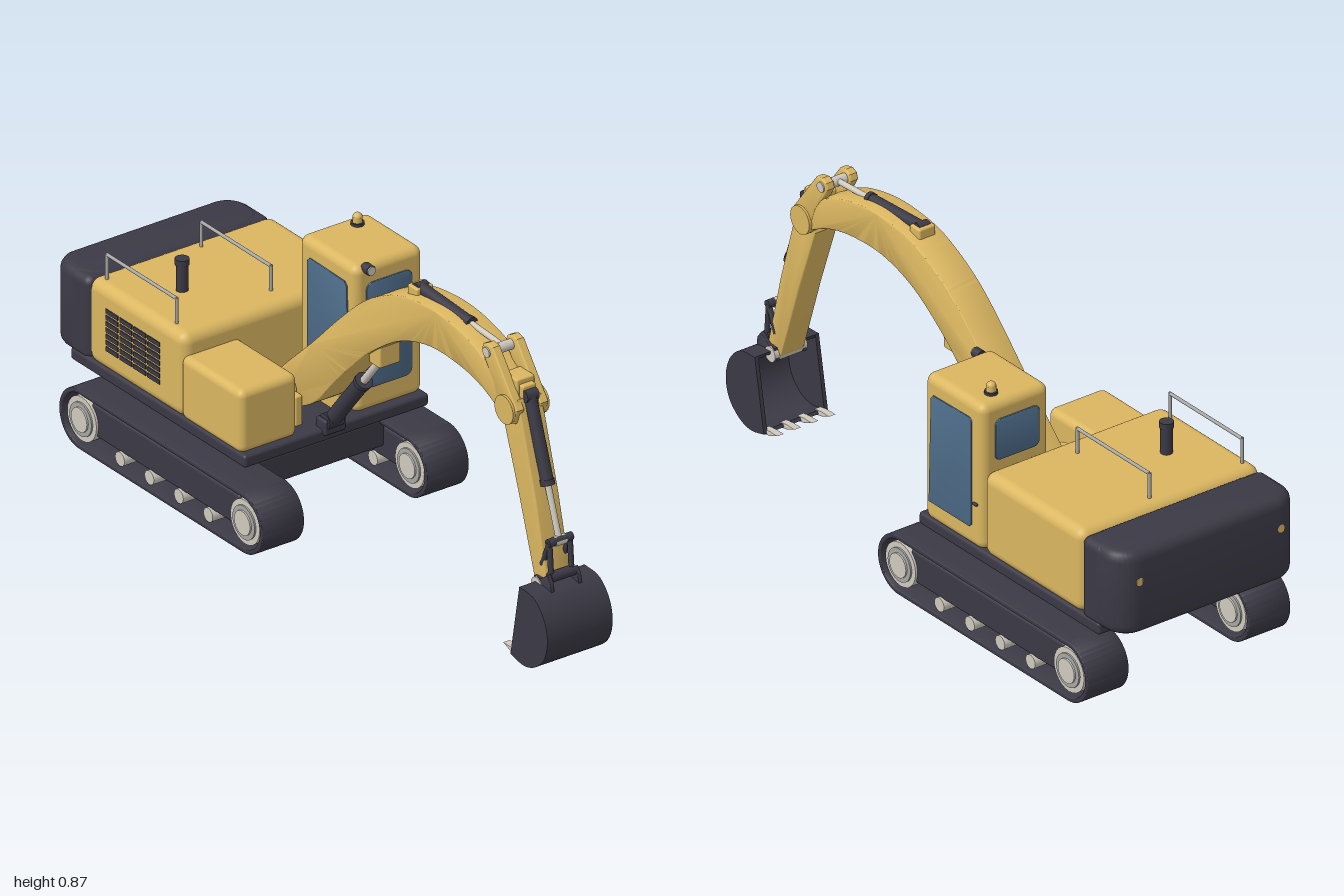
import * as THREE from 'three';
import { toCreasedNormals } from 'three/addons/utils/BufferGeometryUtils.js';
import { RoundedBoxGeometry } from 'three/addons/geometries/RoundedBoxGeometry.js';

const paint = (name, color, side = THREE.FrontSide) => {
  const m = new THREE.MeshStandardMaterial({ color, side });
  m.name = name;
  return m;
};

export function createModel() {
  const yellow = paint('yellow paint', 0xdab660);
  const dark = paint('dark steel', 0x3b3945, THREE.DoubleSide);
  const glass = paint('blue glass', 0x4d6b88);
  const light = paint('light metal', 0xcfc9be);
  const rail = paint('rail grey', 0xa5a5a3);
  const root = new THREE.Group();
  root.name = 'excavator';
  const AX = -0.012; // x of the digging arm's middle plane

  const add = (name, geo, mat, x = 0, y = 0, z = 0, parent = root) => {
    const m = new THREE.Mesh(geo, mat);
    m.name = name;
    m.position.set(x, y, z);
    parent.add(m);
    return m;
  };
  // Box given by its min and max on each axis, with rounded edges
  const box = (name, mat, [x0, x1], [y0, y1], [z0, z1], r = 0.006, parent = root) =>
    add(name, new RoundedBoxGeometry(x1 - x0, y1 - y0, z1 - z0, 4, r), mat,
      (x0 + x1) / 2, (y0 + y1) / 2, (z0 + z1) / 2, parent);
  // Cylinder between two points
  const rod = (name, mat, a, b, r, r2 = r, parent = root) => {
    const p = new THREE.Vector3(...a), q = new THREE.Vector3(...b), d = q.clone().sub(p);
    const m = add(name, new THREE.CylinderGeometry(r2, r, d.length(), 24), mat, 0, 0, 0, parent);
    m.position.copy(p).add(q).multiplyScalar(0.5);
    m.quaternion.setFromUnitVectors(new THREE.Vector3(0, 1, 0), d.normalize());
    return m;
  };
  // Pin lying along x
  const pin = (name, mat, x, y, z, r, w, parent = root) =>
    rod(name, mat, [x - w / 2, y, z], [x + w / 2, y, z], r, r, parent);
  const extrude = (shape, depth, bevel) => {
    const g = new THREE.ExtrudeGeometry(shape, {
      depth: depth - 2 * bevel, curveSegments: 16, bevelEnabled: bevel > 0,
      bevelThickness: bevel, bevelSize: bevel, bevelOffset: -bevel, bevelSegments: 4 });
    g.translate(0, 0, bevel - depth / 2);
    return toCreasedNormals(g, 0.6);
  };
  // Outline in (z, y), extruded along x
  const sidePart = (name, mat, shape, width, x = AX, bevel = 0.005) =>
    add(name, extrude(shape, width, bevel).rotateY(-Math.PI / 2), mat, x);
  const outline = pts => new THREE.Shape(pts.map(p => new THREE.Vector2(...p)));
  const roundRect = (w, h, r, S = THREE.Shape) => {
    const s = new S(), a = w / 2, b = h / 2, q = Math.PI / 2;
    s.absarc(a - r, b - r, r, 0, q);
    s.absarc(r - a, b - r, r, q, 2 * q);
    s.absarc(r - a, r - b, r, 2 * q, 3 * q);
    s.absarc(a - r, r - b, r, 3 * q, 4 * q);
    s.closePath();
    return s;
  };

  // Crawler tracks
  for (const s of [-1, 1]) {
    const t = new THREE.Group();
    t.name = s > 0 ? 'leftTrack' : 'rightTrack';
    root.add(t);
    const x = s * 0.275;
    const loop = roundRect(0.92, 0.18, 0.0899);
    loop.holes.push(roundRect(0.892, 0.152, 0.0759, THREE.Path));
    add('trackBelt', extrude(loop, 0.14, 0.003).rotateY(-Math.PI / 2), dark, x, 0.1, -0.445, t);
    box('trackFrame', dark, [x - 0.055, x + 0.055], [0.065, 0.163], [-0.78, -0.11], 0.01, t);
    for (const z of [-0.075, -0.812]) {
      pin('trackWheel', light, x, 0.1, z, 0.066, 0.124, t);
      pin('wheelRing', rail, x, 0.1, z, 0.05, 0.134, t);
      pin('wheelHub', light, x, 0.1, z, 0.036, 0.144, t);
    }
    for (let i = 0; i < 4; i++) pin('roller', light, x, 0.05, -0.243 - i * 0.133, 0.021, 0.122, t);
  }

  // Undercarriage and turntable
  box('crossFrame', dark, [-0.225, 0.225], [0.1, 0.19], [-0.69, -0.2], 0.012);
  rod('turntable', dark, [0, 0.185, -0.445], [0, 0.198, -0.445], 0.19);
  add('turntableRing', new THREE.CylinderGeometry(0.203, 0.203, 0.038, 48), dark, 0, 0.215, -0.445);

  // Upper structure
  box('deck', dark, [-0.308, 0.308], [0.234, 0.272], [-0.905, -0.115], 0.01);
  box('engineHousing', yellow, [-0.307, 0.307], [0.262, 0.517], [-0.83, -0.393], 0.032);
  box('sideHousing', yellow, [-0.307, -0.115], [0.265, 0.456], [-0.41, -0.135], 0.022);
  add('counterweight', extrude(roundRect(0.614, 0.18, 0.075), 0.255, 0.03).rotateX(-Math.PI / 2),
    dark, 0, 0.383, -0.91);
  box('counterweightFront', dark, [-0.307, 0.307], [0.256, 0.508], [-0.92, -0.822], 0.025);
  for (const x of [-0.24, 0.24]) {
    rod('rearLamp', yellow, [x, 0.42, -0.99], [x, 0.42, -1], 0.012);
  }
  // Louvres on the right flank
  for (let i = 0; i < 7; i++) {
    for (let j = 0; j < 4; j++) {
      add('louvre', new THREE.BoxGeometry(0.006, 0.013, 0.055), dark,
        -0.307, 0.335 + i * 0.019, -0.715 + j * 0.063);
    }
  }
  // Exhaust and handrails
  rod('exhaust', dark, [-0.148, 0.5, -0.615], [-0.148, 0.612, -0.615], 0.017);
  rod('exhaustCap', dark, [-0.148, 0.595, -0.615], [-0.148, 0.613, -0.615], 0.02);
  for (const x of [-0.273, 0.042]) {
    for (const z of [-0.47, -0.785]) rod('railPost', rail, [x, 0.505, z], [x, 0.594, z], 0.005);
    rod('railBar', rail, [x, 0.591, -0.785], [x, 0.591, -0.47], 0.005);
  }

  // Cab
  box('cab', yellow, [0.077, 0.307], [0.265, 0.711], [-0.395, -0.138], 0.026);
  add('windshield', extrude(roundRect(0.153, 0.32, 0.022), 0.008, 0.002), glass, 0.19, 0.496, -0.138);
  add('rearWindow', extrude(roundRect(0.15, 0.125, 0.018), 0.008, 0.002), glass, 0.19, 0.597, -0.395);
  const pane = outline([[-0.163, 0.325], [-0.172, 0.645], [-0.182, 0.657], [-0.34, 0.66],
    [-0.35, 0.65], [-0.35, 0.335], [-0.34, 0.325]]);
  for (const x of [0.077, 0.307]) sidePart('sideWindow', glass, pane, 0.008, x, 0.002);
  box('doorHandle', dark, [0.305, 0.314], [0.4, 0.408], [-0.375, -0.357], 0.003);
  rod('beaconBase', dark, [0.237, 0.705, -0.343], [0.237, 0.719, -0.343], 0.019);
  rod('beacon', yellow, [0.237, 0.719, -0.343], [0.237, 0.735, -0.343], 0.014);
  add('beaconDome', new THREE.SphereGeometry(0.014, 20, 12), yellow, 0.237, 0.733, -0.343);
  rod('headlampShell', dark, [0.119, 0.7, -0.15], [0.119, 0.7, -0.122], 0.015);
  rod('headlampLens', light, [0.119, 0.7, -0.123], [0.119, 0.7, -0.118], 0.013);

  // Boom foot brackets
  for (const s of [-1, 1]) {
    const x = AX + s * 0.07;
    box('footBracket', yellow, [x - 0.012, x + 0.012], [0.265, 0.36], [-0.325, -0.175], 0.005);
    pin('footBracketEye', yellow, x, 0.355, -0.25, 0.048, 0.024);
  }
  pin('footPin', yellow, AX, 0.355, -0.25, 0.025, 0.18);

  // Curved boom
  const upper = [[-0.305, 0.375], [-0.25, 0.43], [-0.14, 0.535], [-0.016, 0.66], [0.09, 0.755],
    [0.2, 0.82], [0.3, 0.853], [0.44, 0.862], [0.57, 0.838], [0.67, 0.79], [0.755, 0.725]];
  const lower = [[0.718, 0.674], [0.626, 0.72], [0.52, 0.743], [0.385, 0.743], [0.25, 0.7],
    [0.12, 0.612], [0.037, 0.535], [-0.04, 0.455], [-0.13, 0.355], [-0.22, 0.305], [-0.28, 0.31]];
  const v2 = pts => pts.map(p => new THREE.Vector2(...p));
  const boom = new THREE.Shape().moveTo(...upper[0]);
  boom.splineThru(v2(upper.slice(1)));
  boom.lineTo(...lower[0]);
  boom.splineThru(v2(lower.slice(1)));
  boom.closePath();
  sidePart('boom', yellow, boom, 0.104);
  pin('boomKnuckle', yellow, AX, 0.703, 0.737, 0.042, 0.122);

  // Stick with its top lever
  sidePart('stick', yellow, outline([[0.7, 0.67], [0.72, 0.72], [0.77, 0.74], [0.792, 0.67],
    [0.85, 0.47], [0.905, 0.245], [0.895, 0.215], [0.862, 0.212], [0.845, 0.235], [0.77, 0.47]]), 0.08);
  for (const s of [-1, 1]) {
    sidePart('stickLever', yellow, outline([[0.626, 0.84], [0.632, 0.858], [0.65, 0.867],
      [0.675, 0.862], [0.785, 0.715], [0.77, 0.67], [0.71, 0.675], [0.68, 0.76], [0.64, 0.815]]),
      0.028, AX + s * 0.04);
  }
  box('leverWeb', yellow, [AX - 0.03, AX + 0.03], [0.71, 0.79], [0.69, 0.755], 0.005);
  box('bucketRamMount', yellow, [AX - 0.022, AX + 0.022], [0.71, 0.775], [0.735, 0.772], 0.005);
  pin('leverPin', light, AX, 0.84, 0.652, 0.015, 0.116);

  // Hydraulic ram: dark barrel, neck ring and light rod; points are (z, y)
  const ram = (name, a, b, part, r) => {
    const at = t => [AX, a[1] + (b[1] - a[1]) * t, a[0] + (b[0] - a[0]) * t];
    rod(name + 'Barrel', dark, at(0), at(part), r);
    rod(name + 'Neck', dark, at(part - 0.04), at(part), r * 1.12);
    rod(name + 'Rod', light, at(part), at(1), r * 0.5);
    pin(name + 'Eye', dark, AX, a[1], a[0], r, r * 2.2);
    pin(name + 'RodEye', light, AX, b[1], b[0], r * 0.8, r * 2);
  };
  ram('boomRam', [-0.12, 0.292], [0.12, 0.59], 0.6, 0.023);
  box('boomRamMount', yellow, [AX - 0.035, AX + 0.035], [0.565, 0.64], [0.09, 0.142], 0.006);
  box('boomRamFoot', dark, [AX - 0.035, AX + 0.035], [0.255, 0.3], [-0.15, -0.105], 0.006);
  ram('stickRam', [0.28, 0.862], [0.652, 0.842], 0.62, 0.017);
  box('stickRamMount', yellow, [AX - 0.028, AX + 0.028], [0.835, 0.872], [0.255, 0.3], 0.006);
  ram('bucketRam', [0.772, 0.745], [0.905, 0.36], 0.62, 0.018);

  // Bucket linkage
  for (const s of [-1, 1]) {
    const x = AX + s * 0.034;
    rod('bucketLink', dark, [x, 0.362, 0.907], [x, 0.26, 0.915], 0.008);
    rod('rockerLink', dark, [x, 0.362, 0.907], [x, 0.285, 0.875], 0.008);
  }
  pin('linkPin', dark, AX, 0.362, 0.907, 0.012, 0.08);
  pin('linkFootPin', dark, AX, 0.262, 0.915, 0.015, 0.08);
  pin('bucketPin', light, AX, 0.228, 0.875, 0.023, 0.11);

  // Bucket: curved shell, two cheeks, ears and teeth
  const back = new THREE.CatmullRomCurve3([[0.872, 0.238], [0.938, 0.23], [0.983, 0.185],
    [0.999, 0.122], [0.983, 0.062], [0.937, 0.02], [0.89, 0.007], [0.832, 0.018]]
    .map(p => new THREE.Vector3(p[0], p[1], 0))).getPoints(32);
  const inner = back.map(p => new THREE.Vector2(0.885 + (p.x - 0.885) * 0.9, 0.125 + (p.y - 0.125) * 0.92));
  const shell = new THREE.Shape([...back.map(p => new THREE.Vector2(p.x, p.y)), ...inner.reverse()]);
  sidePart('bucketShell', dark, shell, 0.218, AX, 0);
  const cheek = new THREE.Shape(back.map(p => new THREE.Vector2(p.x, p.y)));
  for (const s of [-1, 1]) {
    sidePart('bucketCheek', dark, cheek, 0.012, AX + s * 0.103, 0);
    sidePart('bucketEar', dark, outline([[0.85, 0.215], [0.86, 0.25], [0.89, 0.252], [0.92, 0.275],
      [0.935, 0.255], [0.94, 0.215]]), 0.012, AX + s * 0.046, 0.002);
  }
  for (let i = 0; i < 4; i++) {
    const x = AX - 0.088 + i * 0.0587;
    sidePart('tooth', light, outline([[0.85, 0.01], [0.85, 0.026], [0.82, 0.03], [0.786, 0.03],
      [0.82, 0.016]]), 0.022, x, 0.001);
  }
  return root;
}
